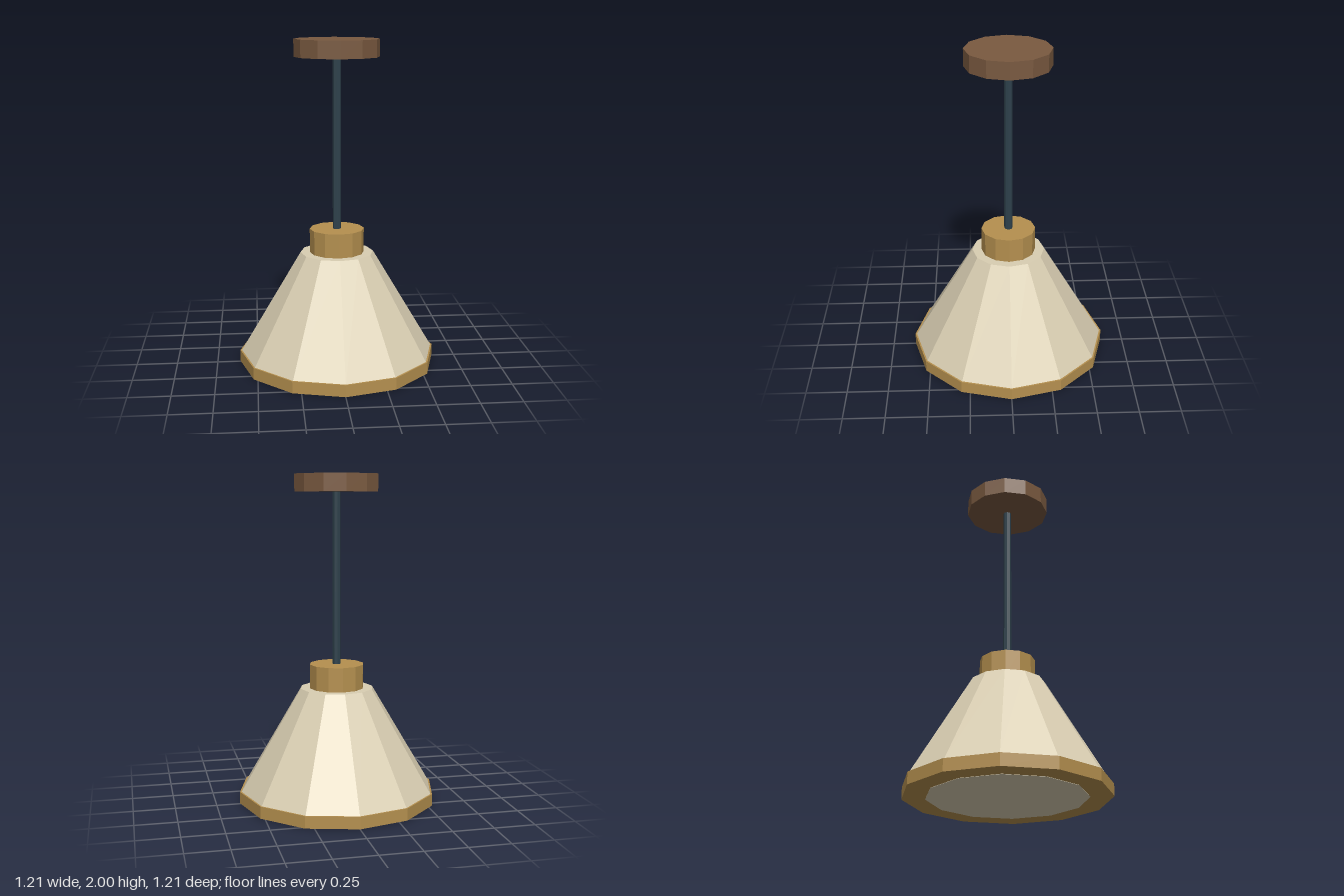
import * as THREE from 'three';

const material = (name, color) => {
  const m = new THREE.MeshStandardMaterial({ color, flatShading: true });
  m.name = name;
  return m;
};

export function createModel() {
  const lamp = new THREE.Group();
  lamp.name = 'pendantLamp';

  const wood = material('brown wood', 0x7a5a40);
  const brass = material('brass', 0xb5904f);
  const cream = material('cream', 0xd9ceb2);
  const steel = material('dark steel', 0x2e414c);

  // Upright faceted drum or cone between two heights
  const drum = (name, mat, y0, y1, rBottom, rTop = rBottom, sides = 12) => {
    const geometry = new THREE.CylinderGeometry(rTop, rBottom, y1 - y0, sides);
    const mesh = new THREE.Mesh(geometry, mat);
    mesh.name = name;
    mesh.position.y = (y0 + y1) / 2;
    lamp.add(mesh);
  };

  // Ceiling mount and hanging rod
  drum('ceilingMount', wood, 1.895, 2, 0.257);
  drum('rod', steel, 0.84, 1.9, 0.025, 0.025, 8);

  // Collar, shade and bottom rim
  drum('collar', brass, 0.69, 0.85, 0.167);
  drum('shade', cream, 0.07, 0.702, 0.6, 0.225);
  drum('rim', brass, 0.002, 0.075, 0.607);

  // Light diffuser on the underside
  drum('diffuser', cream, 0, 0.008, 0.47);

  return lamp;
}
